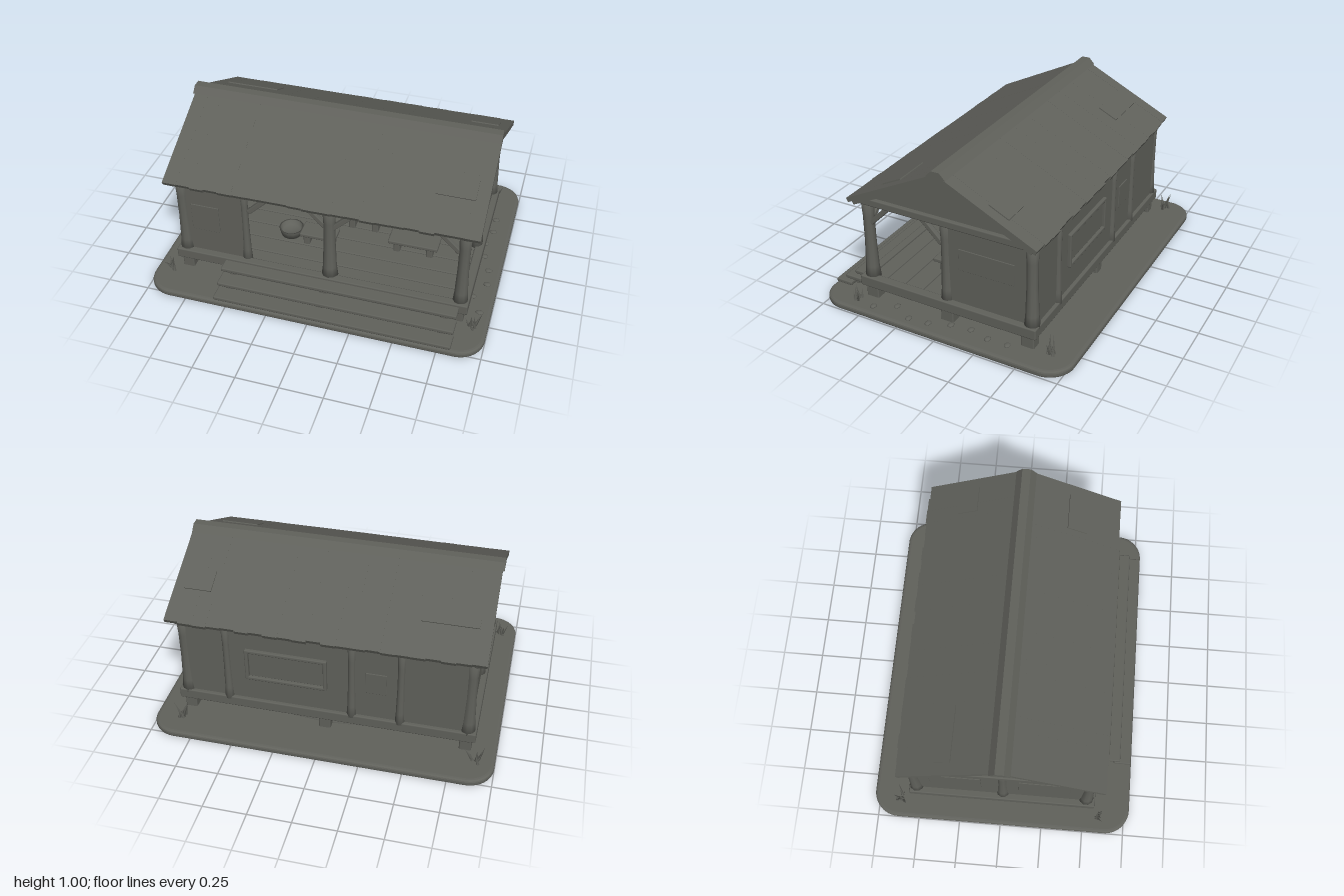
import * as THREE from 'three';
import { RoundedBoxGeometry } from 'three/addons/geometries/RoundedBoxGeometry.js';

export function createModel() {
  const model = new THREE.Group();
  model.name = 'openPavilion';
  const wood = new THREE.MeshStandardMaterial({ color: 0x60615b });
  wood.name = 'weatheredGrey';

  let seed = 7;
  const rand = () => (seed = (seed * 16807) % 2147483647) / 2147483647;

  function add(name, geo, x = 0, y = 0, z = 0, parent = model) {
    const m = new THREE.Mesh(geo, wood);
    m.name = name;
    m.position.set(x, y, z);
    parent.add(m);
    return m;
  }
  // Box given by its limits, with softly rounded edges
  function box(name, x0, x1, y0, y1, z0, z1, parent = model) {
    const w = x1 - x0, h = y1 - y0, d = z1 - z0;
    const r = Math.min(0.008, Math.min(w, h, d) * 0.3);
    return add(name, new RoundedBoxGeometry(w, h, d, 1, r), (x0 + x1) / 2, (y0 + y1) / 2, (z0 + z1) / 2, parent);
  }
  // Square timber between two points
  function timber(name, a, b, t) {
    const p = new THREE.Vector3(...a), q = new THREE.Vector3(...b);
    const m = add(name, new RoundedBoxGeometry(t, t, p.distanceTo(q), 1, 0.006));
    m.position.copy(p).add(q).multiplyScalar(0.5);
    m.lookAt(q);
    return m;
  }
  // Rounded post with a flared foot and head
  function post(name, x, z, r, y0 = 0.17, y1 = 0.67) {
    const profile = [[0, 0], [1.35, 0], [1.12, 0.15], [0.95, 0.5], [0.95, 0.8], [1.1, 1], [0, 1]]
      .map(([k, t]) => new THREE.Vector2(r * k, y0 + (y1 - y0) * t));
    return add(name, new THREE.LatheGeometry(profile, 10), x, 0, z);
  }
  // Picture-style frame with a recessed panel, in its own xy plane
  function frame(name, w, h, x, y, z, turn) {
    const g = new THREE.Group();
    g.name = name;
    const b = 0.022;
    for (const s of [-1, 1]) {
      box(name + 'Rail', -w / 2, w / 2, s * (h - b) / 2 - b / 2, s * (h - b) / 2 + b / 2, 0, 0.025, g);
      box(name + 'Stile', s * (w - b) / 2 - b / 2, s * (w - b) / 2 + b / 2, -h / 2, h / 2, 0, 0.025, g);
    }
    box(name + 'Panel', -w / 2 + b, w / 2 - b, -h / 2 + b, h / 2 - b, 0, 0.009, g);
    g.position.set(x, y, z);
    g.rotation.y = turn;
    model.add(g);
  }

  // Ground slab with rounded corners
  const X = 0.98, Z = 0.76, R = 0.13;
  const slab = new THREE.Shape();
  slab.absarc(X - R, Z - R, R, 0, Math.PI / 2);
  slab.absarc(-X + R, Z - R, R, Math.PI / 2, Math.PI);
  slab.absarc(-X + R, -Z + R, R, Math.PI, Math.PI * 1.5);
  slab.absarc(X - R, -Z + R, R, Math.PI * 1.5, Math.PI * 2);
  const slabGeo = new THREE.ExtrudeGeometry(slab, { depth: 0.014, bevelThickness: 0.015, bevelSize: 0.02, bevelSegments: 3, curveSegments: 8 });
  slabGeo.rotateX(-Math.PI / 2);
  add('groundSlab', slabGeo, 0, 0.015, 0);

  // Low mound under the floor
  const mound = new THREE.SphereGeometry(1, 24, 6, 0, Math.PI * 2, 0, Math.PI / 2);
  mound.scale(0.78, 0.07, 0.5);
  add('mound', mound, 0, 0.04, 0);

  // Footings, floor boards and sill beams
  for (const x of [-0.82, 0, 0.82])
    for (const z of [-0.5, 0, 0.5]) box('footing', x - 0.035, x + 0.035, 0.035, 0.14, z - 0.04, z + 0.04);
  for (let i = 0; i < 9; i++) box('floorBoard', -0.84, 0.84, 0.135, 0.172, -0.54 + i * 0.12, -0.422 + i * 0.12);
  for (const s of [-1, 1]) {
    box('sideSill', s * 0.85 - 0.027, s * 0.85 + 0.027, 0.12, 0.185, -0.56, 0.56);
    box('longSill', -0.87, 0.87, 0.12, 0.185, s * 0.535 - 0.025, s * 0.535 + 0.025);
  }

  // Front steps
  const steps = [[0.53, 0.635, 0.145, 0.17], [0.6, 0.705, 0.092, 0.118], [0.67, 0.775, 0.045, 0.07]];
  for (const [z0, z1, y0, y1] of steps) box('stepTread', -0.57, 0.83, y0, y1, z0, z1);
  for (const x of [-0.5, 0.05, 0.76]) {
    box('stepSupport', x - 0.025, x + 0.025, 0.04, 0.15, 0.57, 0.615);
    box('stepSupport', x - 0.025, x + 0.025, 0.04, 0.1, 0.64, 0.685);
  }

  // Walls: full back and left-hand side, half side and front panel
  box('backWall', -0.83, 0.83, 0.17, 0.68, -0.54, -0.51);
  box('closedSideWall', -0.84, -0.81, 0.17, 0.68, -0.53, 0.53);
  box('halfSideWall', 0.81, 0.84, 0.17, 0.68, -0.53, 0.02);
  box('frontWall', -0.83, -0.45, 0.17, 0.68, 0.49, 0.52);

  // Corner, middle and porch posts
  for (const x of [-0.825, 0.825]) {
    for (const z of [-0.515, 0.505]) post('cornerPost', x, z, 0.034);
    post('sidePost', x, 0.005, 0.03);
  }
  post('porchPost', 0.06, 0.505, 0.036);
  post('frontWallPost', -0.445, 0.505, 0.022);
  for (const x of [0.57, -0.16, -0.44]) post('backWallPost', x, -0.535, 0.022);
  post('innerPost', -0.13, -0.5, 0.02);

  // Top beams
  for (const s of [-1, 1]) {
    box('sidePlate', s * 0.835 - 0.028, s * 0.835 + 0.028, 0.65, 0.695, -0.55, 0.55);
    box('longPlate', -0.86, 0.86, 0.65, 0.695, s * 0.515 - 0.025, s * 0.515 + 0.025);
  }

  // Diagonal braces at the porch openings
  for (const [x, d] of [[-0.44, 1], [0.06, -1], [0.06, 1], [0.82, -1]])
    timber('frontBrace', [x + d * 0.02, 0.53, 0.505], [x + d * 0.15, 0.66, 0.505], 0.03);
  for (const [z, d] of [[0.505, -1], [0.005, 1]])
    timber('sideBrace', [0.83, 0.53, z + d * 0.02], [0.83, 0.66, z + d * 0.15], 0.03);

  // Wall patches and framed panels
  frame('backWindow', 0.48, 0.21, 0.22, 0.44, -0.535, Math.PI);
  frame('innerBackFrame', 0.48, 0.2, 0.22, 0.44, -0.515, 0);
  frame('innerSideFrame', 0.32, 0.2, -0.815, 0.43, 0.27, Math.PI / 2);
  box('smallNotice', 0.36, 0.43, 0.4, 0.48, -0.5, -0.484);
  box('tiltedNotice', -0.3, -0.22, 0.33, 0.4, -0.512, -0.503).rotation.z = -0.12;
  box('sidePatch', 0.838, 0.845, 0.4, 0.53, -0.42, -0.08);
  for (const z of [-0.27, 0.25]) box('closedSidePatch', -0.845, -0.838, 0.34, 0.53, z - 0.15, z + 0.15);
  box('frontPatch', -0.77, -0.6, 0.34, 0.52, 0.518, 0.525);
  box('backPatch', -0.36, -0.24, 0.36, 0.5, -0.546, -0.538);

  // Gables
  const tri = new THREE.Shape([[-0.53, 0.68], [0.53, 0.68], [0, 0.96]].map(([z, y]) => new THREE.Vector2(z, y)));
  for (const x of [-0.84, 0.81]) {
    const g = new THREE.ExtrudeGeometry(tri, { depth: 0.03, bevelEnabled: false });
    g.rotateY(-Math.PI / 2);
    add('gable', g, x + 0.03, 0, 0);
  }

  // Roof: boards down each slope, bargeboards and repair patches
  const a = Math.atan2(0.285, 0.575);
  for (const s of [-1, 1]) {
    const slope = new THREE.Group();
    slope.name = s > 0 ? 'frontRoof' : 'backRoof';
    slope.position.y = 0.985;
    slope.rotation.x = s * a;
    model.add(slope);
    const n = 22, w = 1.81 / n;
    for (let i = 0; i < n; i++) {
      const len = 0.648 + rand() * 0.012, x = -0.9 + i * w;
      add('roofBoard', new THREE.BoxGeometry(w, 0.026 + rand() * 0.002, len), x + w / 2, -0.012, s * len / 2, slope);
    }
    for (const x of [-0.875, 0.885])
      add('bargeBoard', new THREE.BoxGeometry(0.03, 0.03, 0.63), x, -0.034, s * 0.315, slope);
    const patches = s > 0 ? [[0.73, 0.36, 0.22, 0.13]] : [[-0.67, 0.37, 0.32, 0.13], [0.77, 0.37, 0.16, 0.13]];
    for (const [x, z, pw, pd] of patches)
      add('roofPatch', new THREE.BoxGeometry(pw, 0.008, pd), x, 0.004, s * z, slope);
  }
  // Ridge cap, a shallow folded board
  const cap = new THREE.Shape([[-0.06, 0.957], [-0.025, 0.994], [0.025, 0.994], [0.06, 0.957], [0, 0.96]].map(p => new THREE.Vector2(...p)));
  const capGeo = new THREE.ExtrudeGeometry(cap, { depth: 1.82, bevelEnabled: false });
  capGeo.rotateY(Math.PI / 2);
  add('ridgeCap', capGeo, -0.91, 0.004, 0);

  // Benches and table: plank top on two trestles
  function bench(name, x, z, len, depth, top, turn = 0) {
    const g = new THREE.Group();
    g.name = name;
    box(name + 'Top', -len / 2, len / 2, top - 0.025, top, -depth / 2, depth / 2, g);
    for (const s of [-1, 1]) {
      const lx = s * len * 0.33;
      box(name + 'Leg', lx - 0.02, lx + 0.02, 0.165, top - 0.02, -depth * 0.35, depth * 0.35, g);
    }
    g.position.set(x, 0, z);
    g.rotation.y = turn;
    model.add(g);
  }
  bench('rightBench', 0.48, 0.16, 0.3, 0.13, 0.262);
  bench('middleBench', -0.08, 0.25, 0.22, 0.12, 0.26);
  bench('table', 0.14, 0.02, 0.22, 0.15, 0.335);
  bench('sideBench', -0.7, 0.05, 0.3, 0.12, 0.255, Math.PI / 2);
  // Shallow tub on the floor
  const tub = [[0, 0], [0.06, 0], [0.075, 0.05], [0.065, 0.05], [0.055, 0.02], [0, 0.02]].map(p => new THREE.Vector2(...p));
  add('tub', new THREE.LatheGeometry(tub, 14), -0.27, 0.17, 0.22);

  // Grass tufts at the corners, with a few stones
  for (const [x, z] of [[-0.89, -0.62], [0.84, -0.64], [-0.9, 0.59], [0.91, 0.57]]) {
    for (let i = 0; i < 7; i++) {
      const h = 0.05 + rand() * 0.07;
      const blade = new THREE.ConeGeometry(0.01, h, 4).translate(0, h / 2, 0);
      const m = add('grassBlade', blade, x + (rand() - 0.5) * 0.04, 0.042, z + (rand() - 0.5) * 0.04);
      m.rotation.set((rand() - 0.5) * 0.9, 0, (rand() - 0.5) * 0.9);
    }
  }
  for (let i = 0; i < 8; i++) {
    const stone = add('stone', new THREE.IcosahedronGeometry(0.018, 1), 0.9 + (rand() - 0.5) * 0.08, 0.046, -0.4 + i * 0.12);
    stone.scale.set(1.3, 0.5, 1);
  }
  return model;
}
